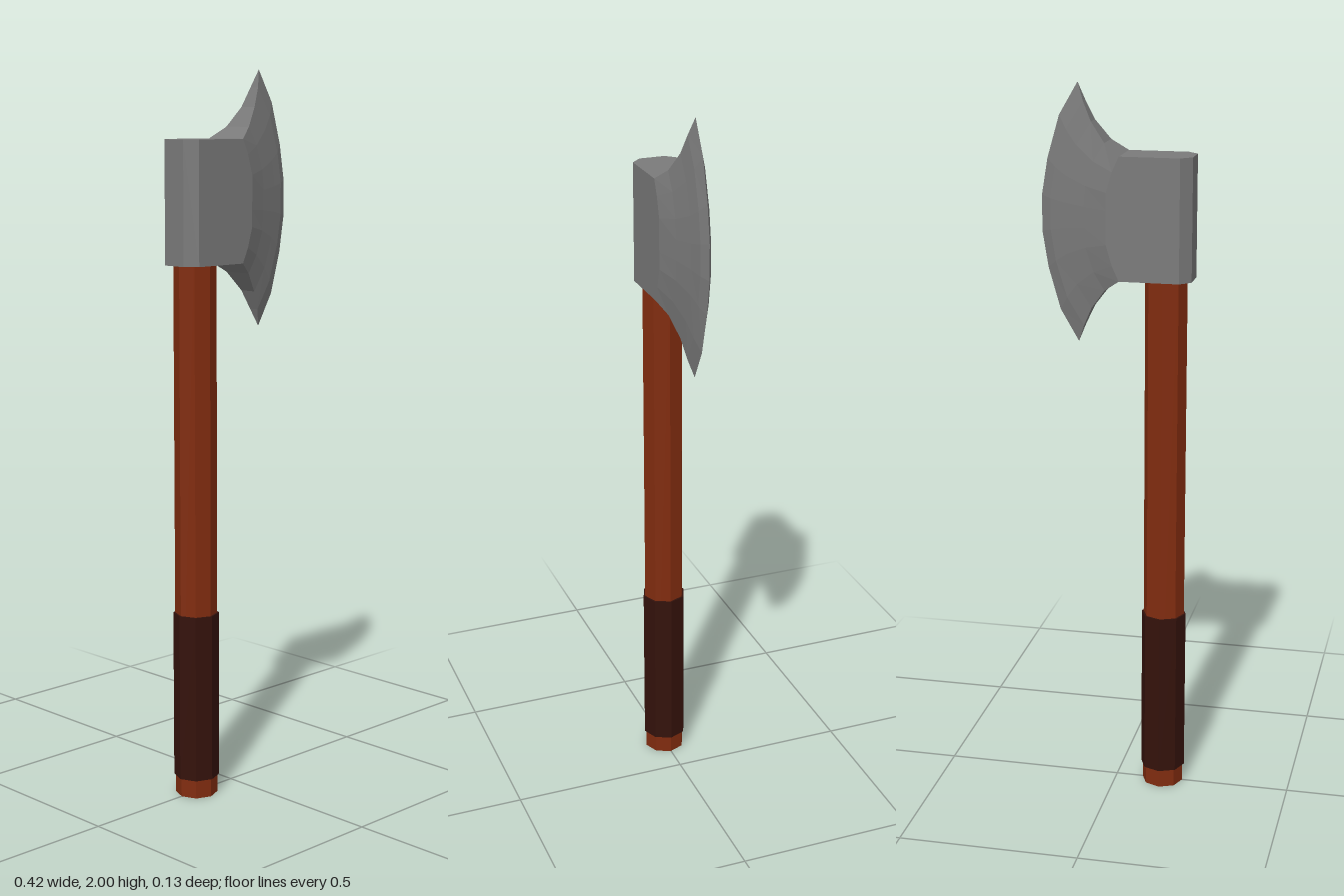
import * as THREE from 'three';

const HANDLE_X = -0.135;
const HEAD_Y = 1.65;
const HALF_THICK = 0.065;
const HALF_EYE = 0.166;   // half height of the eye block
const ROOT_X = -0.018;    // where the block ends and the blade begins
const STEEL = 0x7a7a7a;

function addMesh(group, name, geometry, color) {
  const material = new THREE.MeshStandardMaterial({ color, flatShading: true });
  const mesh = new THREE.Mesh(geometry, material);
  mesh.name = name;
  group.add(mesh);
  return mesh;
}

// Octagonal rod standing between two heights
function addRod(group, name, radius, y0, y1, color) {
  const rod = addMesh(group, name, new THREE.CylinderGeometry(radius, radius, y1 - y0, 8), color);
  rod.position.set(HANDLE_X, (y0 + y1) / 2, 0);
}

// Block around the handle, with chamfered rear corners
function eyeBlock() {
  const back = -0.21, c = 0.029, t = HALF_THICK;
  const outline = new THREE.Shape([
    [back, -t + c], [back + c, -t], [ROOT_X, -t], [ROOT_X, t], [back + c, t], [back, t - c],
  ].map(([x, y]) => new THREE.Vector2(x, y)));
  const geometry = new THREE.ExtrudeGeometry(outline, { depth: HALF_EYE * 2, bevelEnabled: false });
  return geometry.rotateX(-Math.PI / 2).translate(0, HEAD_Y - HALF_EYE, 0);
}

// Flared blade: closed loops swept from the block to the curved cutting edge
function flaredBlade() {
  // Upper half of each cross-section: [relative height, root x, cutting edge x]
  const upper = [[0.14, 0.017, 0.207], [0.42, 0.017, 0.191], [0.75, 0.001, 0.158], [1, ROOT_X, 0.107]];
  const rows = [...upper.map(([v, r, e]) => [-v, r, e]).reverse(), ...upper];
  // [progress towards edge, half height, half thickness]
  const stations = [
    [0, HALF_EYE, HALF_THICK], [0.35, 0.197, 0.043], [0.67, 0.25, 0.025], [0.86, 0.302, 0.0145], [1, 0.35, 0],
  ];
  const loop = (u, h, t) => {
    const side = z => rows.map(([v, root, edge]) => [THREE.MathUtils.lerp(root, edge, u), HEAD_Y + v * h, z]);
    return [...side(t), ...side(-t).reverse()];
  };
  const start = loop(0, HALF_EYE, HALF_THICK).map(([, y, z]) => [ROOT_X, y, z]);
  const loops = [start, ...stations.map(s => loop(...s))];
  const n = rows.length * 2;
  const index = [];
  for (let i = 0; i < loops.length - 1; i++) {
    for (let j = 0; j < n; j++) {
      const a = i * n + j, b = i * n + (j + 1) % n;
      index.push(a, a + n, b, b, a + n, b + n);
    }
  }
  const geometry = new THREE.BufferGeometry();
  geometry.setAttribute('position', new THREE.Float32BufferAttribute(loops.flat(2), 3));
  geometry.setIndex(index);
  geometry.computeVertexNormals();
  return geometry;
}

export function createModel() {
  const axe = new THREE.Group();
  axe.name = 'axe';

  addRod(axe, 'handle', 0.058, 0, 1.55, 0x812c0f);
  addRod(axe, 'grip', 0.063, 0.052, 0.522, 0x34120b);

  const head = new THREE.Group();
  head.name = 'head';
  addMesh(head, 'eyeBlock', eyeBlock(), STEEL);
  addMesh(head, 'blade', flaredBlade(), STEEL);
  axe.add(head);

  return axe;
}
